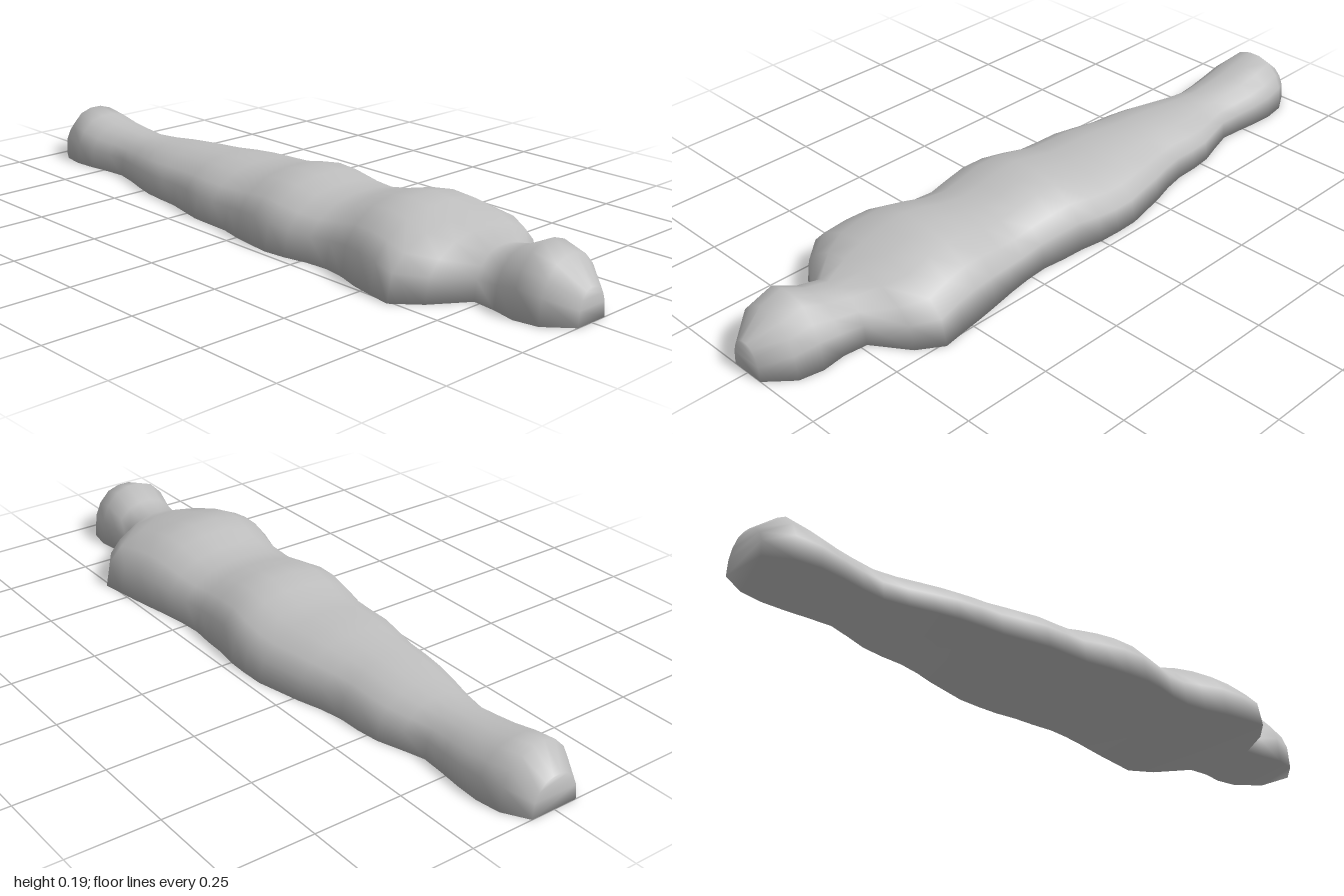
import * as THREE from 'three';

// Rings from head (z = 1) to tail (z = -1): [reach to -x, reach to +x, height]
const RINGS = [
  // head and neck
  [0.05, 0.05, 0.09], [0.11, 0.11, 0.15], [0.122, 0.122, 0.169], [0.107, 0.113, 0.136], [0.10, 0.12, 0.121],
  // shoulders
  [0.2, 0.217, 0.146], [0.261, 0.261, 0.16], [0.25, 0.25, 0.179], [0.237, 0.24, 0.187], [0.215, 0.228, 0.178],
  // middle
  [0.205, 0.215, 0.159], [0.21, 0.205, 0.148], [0.225, 0.2, 0.155], [0.232, 0.207, 0.168], [0.225, 0.21, 0.172],
  [0.215, 0.22, 0.16], [0.2, 0.222, 0.146], [0.198, 0.22, 0.143], [0.195, 0.205, 0.143], [0.18, 0.19, 0.139],
  // tapering lower part
  [0.165, 0.17, 0.133], [0.16, 0.157, 0.13], [0.152, 0.155, 0.124], [0.135, 0.147, 0.118], [0.115, 0.125, 0.112],
  // ankle and foot end
  [0.1, 0.105, 0.11], [0.105, 0.11, 0.115], [0.115, 0.117, 0.121], [0.12, 0.12, 0.135], [0.11, 0.11, 0.148],
  [0.07, 0.07, 0.095],
];

// Half of the unit dome section, mirrored to make the full arch
const HALF = [[1, 0], [0.94, 0.45], [0.78, 0.71], [0.5, 0.92], [0.17, 1]];
const ARCH = [...HALF, ...HALF.map(([x, y]) => [-x, y]).reverse()];

function loftGeometry() {
  const n = ARCH.length;
  const last = RINGS.length - 1;
  const positions = [];
  const index = [];
  RINGS.forEach(([left, right, height], i) => {
    const z = 1 - (2 * i) / last;
    for (const [x, y] of ARCH) positions.push(x * (x < 0 ? left : right), y * height, z);
  });
  // dome and flat underside
  for (let i = 0; i < last; i++) {
    for (let j = 0; j < n; j++) {
      const k = (j + 1) % n;
      const a = i * n + j, b = i * n + k, c = a + n, d = b + n;
      index.push(a, c, b, b, c, d);
    }
  }
  // end caps
  const e = last * n;
  for (let j = 0; j < n / 2 - 1; j++) {
    const a = j, b = j + 1, c = n - 2 - j, d = n - 1 - j;
    index.push(a, b, c, a, c, d);
    index.push(e + a, e + c, e + b, e + a, e + d, e + c);
  }
  const geometry = new THREE.BufferGeometry();
  geometry.setAttribute('position', new THREE.Float32BufferAttribute(positions, 3));
  geometry.setIndex(index);
  geometry.computeVertexNormals();
  return geometry;
}

export function createModel() {
  const grey = new THREE.MeshStandardMaterial({ color: 0xbfbfbf });
  grey.name = 'grey';
  const body = new THREE.Mesh(loftGeometry(), grey);
  body.name = 'shroudedBody';
  const group = new THREE.Group();
  group.name = 'shroudedFigure';
  group.add(body);
  return group;
}
